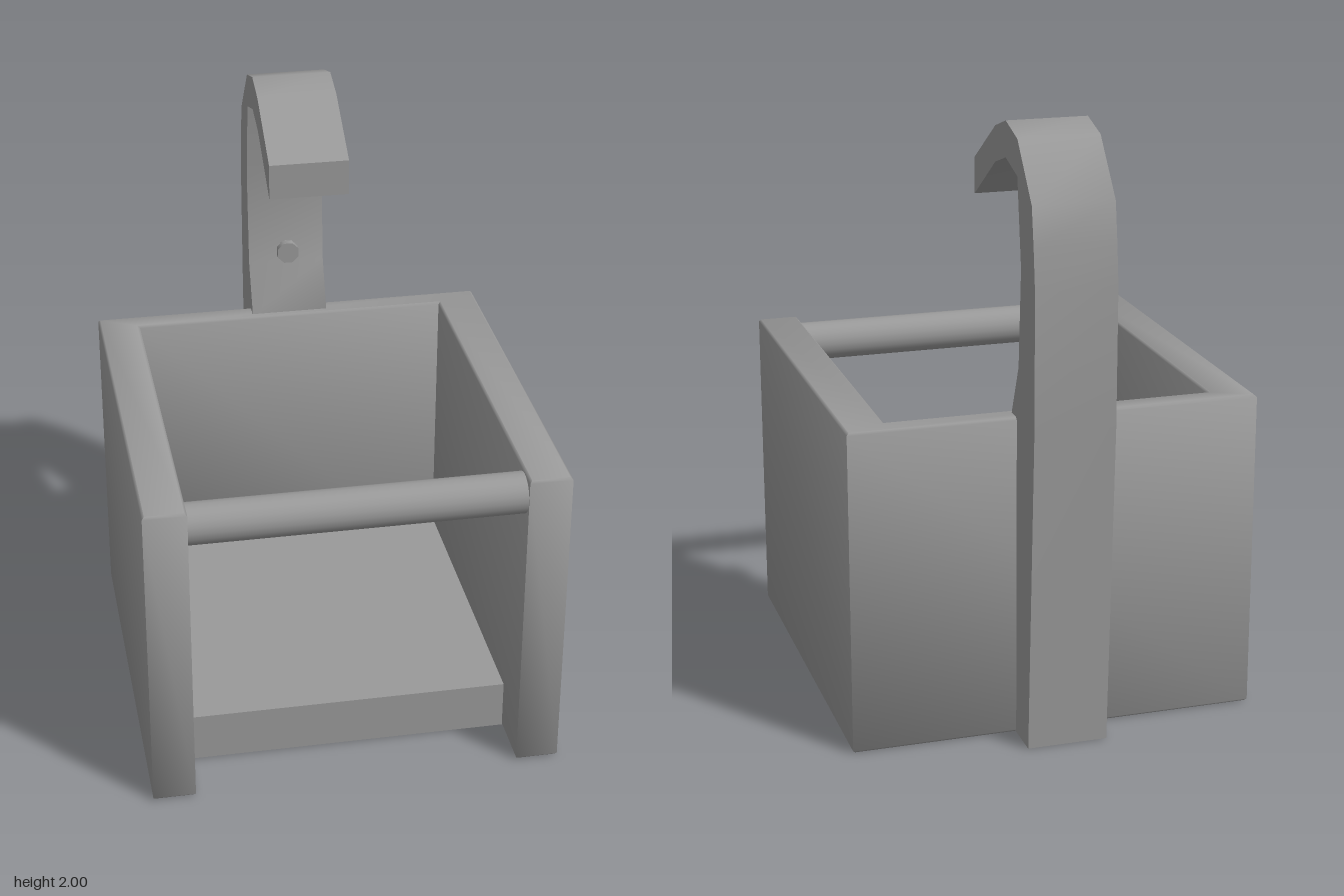
import * as THREE from 'three';
import { toCreasedNormals } from 'three/addons/utils/BufferGeometryUtils.js';

const grey = new THREE.MeshStandardMaterial({ color: 0x999999 });
grey.name = 'plain grey';

function polygon(points) {
  return new THREE.Shape(points.map(([a, b]) => new THREE.Vector2(a, b)));
}

export function createModel() {
  const group = new THREE.Group();
  const add = (name, geometry, x = 0, y = 0, z = 0) => {
    const mesh = new THREE.Mesh(geometry, grey);
    mesh.name = name;
    mesh.position.set(x, y, z);
    group.add(mesh);
  };

  // Two side walls and the back wall: a U-shaped plan pulled upwards
  const bevel = 0.008;
  const plan = polygon([
    [-0.68, -0.775], [-0.54, -0.775], [-0.54, 0.51], [0.54, 0.51],
    [0.54, -0.775], [0.68, -0.775], [0.68, 0.59], [-0.68, 0.59],
  ]);
  const walls = new THREE.ExtrudeGeometry(plan, {
    depth: 1.08 - 2 * bevel, bevelEnabled: true, bevelSegments: 1,
    bevelSize: bevel, bevelThickness: bevel, bevelOffset: -bevel,
  });
  walls.rotateX(-Math.PI / 2).translate(0, bevel, 0);
  add('walls', toCreasedNormals(walls, 0.9));

  // Floor, stopping short of the front
  add('floor', new THREE.BoxGeometry(1.1, 0.168, 1.12), 0, 0.086, 0.02);

  // Round bar across the top of the open front
  const bar = new THREE.CylinderGeometry(0.068, 0.068, 1.1, 20).rotateZ(Math.PI / 2);
  add('frontBar', bar, 0, 1.003, 0.705);

  // Hooked strap up the back, drawn as a (z, y) side profile
  const profile = polygon([
    [-0.55, 0], [-0.72, 0], [-0.77, 1.08], [-0.77, 1.53], [-0.755, 1.66],
    [-0.735, 1.79], [-0.59, 1.965], [-0.47, 2], [-0.36, 1.965], [-0.13, 1.82],
    [-0.13, 1.7], [-0.36, 1.85], [-0.47, 1.885], [-0.59, 1.85],
    [-0.63, 1.57], [-0.607, 1.25], [-0.533, 1.075], [-0.55, 1.0],
  ]);
  const hook = new THREE.ExtrudeGeometry(profile, { depth: 0.266, bevelEnabled: false });
  hook.translate(0, 0, -0.133).rotateY(-Math.PI / 2);
  add('hook', toCreasedNormals(hook, 0.9));

  // Small peg on the strap
  const stem = new THREE.CylinderGeometry(0.025, 0.025, 0.07, 8).rotateX(Math.PI / 2);
  add('pegStem', stem, 0, 1.3, -0.605);
  const head = new THREE.CylinderGeometry(0.04, 0.04, 0.026, 8, 1, false, Math.PI / 8);
  head.rotateX(Math.PI / 2);
  add('pegHead', head, 0, 1.3, -0.568);

  return group;
}
